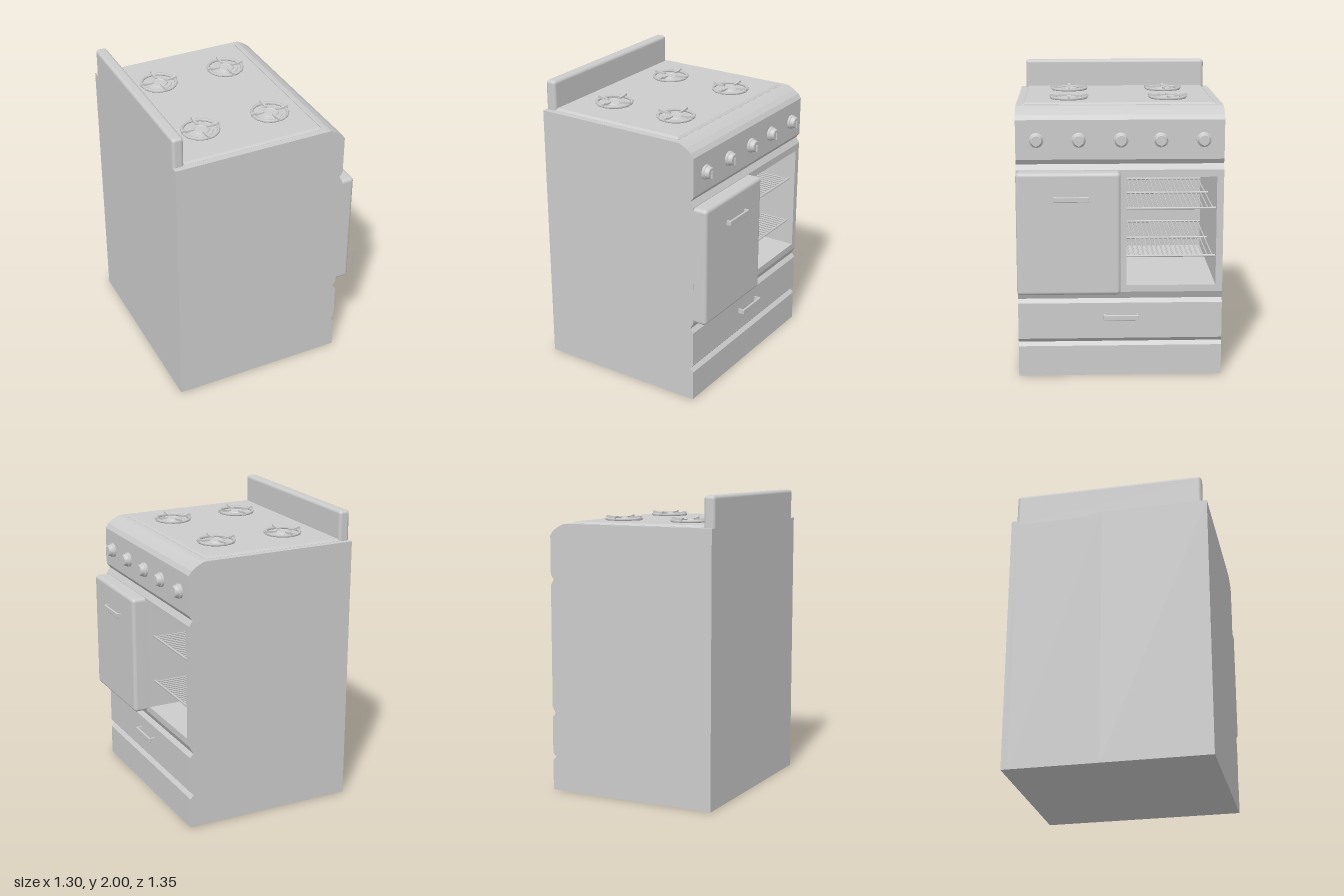
import * as THREE from 'three';
import { RoundedBoxGeometry } from 'three/addons/geometries/RoundedBoxGeometry.js';

const mat = new THREE.MeshStandardMaterial({ color: 0xcccccc });
const flat = new THREE.MeshStandardMaterial({ color: 0xcccccc, flatShading: true });

function add(parent, name, geometry, x = 0, y = 0, z = 0, material = mat) {
  const mesh = new THREE.Mesh(geometry, material);
  mesh.name = name;
  mesh.position.set(x, y, z);
  parent.add(mesh);
  return mesh;
}

const box = (w, h, d) => new THREE.BoxGeometry(w, h, d);

function shapeOf(points) {
  return new THREE.Shape(points.map(([x, y]) => new THREE.Vector2(x, y)));
}

// Side outline of the cabinet; the front (+x) edge carries three V grooves
const FRONT = 0.525;
const lowerFront = [[-0.65, 0], [FRONT, 0], [FRONT, 0.205], [0.502, 0.23], [FRONT, 0.257],
  [FRONT, 0.5], [0.502, 0.527], [FRONT, 0.575]];
const upperFront = [[FRONT, 1.393], [0.502, 1.43], [FRONT, 1.463], [FRONT, 1.72], [0.505, 1.75],
  [0.47, 1.775], [0.425, 1.797], [0.40, 1.8], [-0.65, 1.8]];
const cavity = [[FRONT, 0.62], [-0.55, 0.62], [-0.55, 1.345], [FRONT, 1.345]];

function slab(parent, name, points, z0, z1) {
  const g = new THREE.ExtrudeGeometry(shapeOf(points), { depth: z1 - z0, bevelEnabled: false });
  return add(parent, name, g, 0, 0, z0, flat);
}

// Bar handle: two posts and a grip running along z
function handle(name, x, y, z, reach, width) {
  const g = new THREE.Group();
  g.name = name;
  g.position.set(x, y, z);
  add(g, 'grip', new RoundedBoxGeometry(0.014, 0.035, width, 2, 0.005), reach - 0.007, 0, 0);
  for (const s of [-1, 1]) {
    add(g, 'post', box(reach - 0.005, 0.03, 0.012), (reach - 0.005) / 2, 0, s * (width / 2 - 0.008));
  }
  return g;
}

function burner(x, z) {
  const g = new THREE.Group();
  g.name = 'burner';
  g.position.set(x, 1.812, z);
  // Stepped burner head with a dished cap
  const head = [[0.085, 0], [0.082, 0.006], [0.06, 0.008], [0.056, 0.015], [0.042, 0.017],
    [0.036, 0.013], [0, 0.013]].map(([r, y]) => new THREE.Vector2(r, y));
  add(g, 'burnerHead', new THREE.LatheGeometry(head, 20), 0, 0, 0, flat);
  const ring = add(g, 'grateRing', new THREE.TorusGeometry(0.117, 0.01, 6, 16), 0, 0.011, 0);
  ring.rotation.x = Math.PI / 2;
  // Four arms with a small raised tip near the middle
  for (let i = 0; i < 4; i++) {
    const arm = new THREE.Group();
    arm.name = 'grateArm';
    arm.rotation.y = i * Math.PI / 2;
    const outline = shapeOf([[0.045, 0.016], [0.13, 0.009], [0.13, 0.031], [0.115, 0.033],
      [0.1, 0.027], [0.06, 0.024], [0.045, 0.026]]);
    add(arm, 'bar', new THREE.ExtrudeGeometry(outline, { depth: 0.014, bevelEnabled: false }), 0, 0, -0.007);
    g.add(arm);
  }
  return g;
}

function knob(z) {
  const g = new THREE.Group();
  g.name = 'knob';
  g.position.set(FRONT, 1.59, z);
  const profile = [[0.048, 0], [0.048, 0.014], [0.042, 0.018], [0.037, 0.04], [0.032, 0.045], [0, 0.045]]
    .map(([r, h]) => new THREE.Vector2(r, h));
  const dial = add(g, 'dial', new THREE.LatheGeometry(profile, 24), 0, 0, 0, flat);
  dial.rotation.z = -Math.PI / 2;
  add(g, 'pointer', box(0.016, 0.045, 0.01), 0.046, -0.012, 0);
  return g;
}

function rack(y) {
  const g = new THREE.Group();
  g.name = 'rack';
  g.position.set(-0.03, y, -0.335);
  const rod = (name, length, radius, x, z, alongX) => {
    const m = add(g, name, new THREE.CylinderGeometry(radius, radius, length, 6), x, 0, z);
    if (alongX) m.rotation.z = Math.PI / 2;
    else m.rotation.x = Math.PI / 2;
  };
  for (const x of [-0.51, 0, 0.51]) rod('crossBar', 0.59, 0.008, x, 0, false);
  const count = 18;
  for (let i = 0; i < count; i++) {
    rod('wire', 1.02, 0.005, 0, -0.275 + 0.55 * i / (count - 1), true);
  }
  return g;
}

export function createModel() {
  const model = new THREE.Group();
  model.name = 'stove';

  // Cabinet: two solid ends and a middle section opened for the oven
  const body = new THREE.Group();
  body.name = 'cabinet';
  model.add(body);
  const solid = [...lowerFront, ...upperFront];
  slab(body, 'rightWall', solid, -0.675, -0.63);
  slab(body, 'ovenSection', [...lowerFront, ...cavity, ...upperFront], -0.63, -0.04);
  slab(body, 'closedSection', solid, -0.04, 0.675);

  // Raised hob plate with sloped border
  const plate = new THREE.ExtrudeGeometry(
    shapeOf([[-0.6, -0.617], [0.37, -0.617], [0.37, 0.617], [-0.6, 0.617]]),
    { depth: 0.001, bevelThickness: 0.012, bevelSize: 0.015, bevelSegments: 1 });
  plate.rotateX(-Math.PI / 2);
  add(model, 'hobPlate', plate, 0, 1.8, 0, flat);

  for (const x of [-0.327, 0.163]) for (const z of [-0.33, 0.33]) model.add(burner(x, z));

  // Upright back panel, square below and rounded above
  add(model, 'backPanel', new RoundedBoxGeometry(0.075, 0.25, 1.28, 4, 0.022), -0.6125, 1.875, 0);

  for (const z of [0.54, 0.267, -0.005, -0.263, -0.54]) model.add(knob(z));

  // Door with rounded front edges
  const door = new THREE.Group();
  door.name = 'door';
  model.add(door);
  add(door, 'doorPanel', new RoundedBoxGeometry(0.115, 0.81, 0.675, 4, 0.024), 0.5605, 0.985, 0.3375);
  door.add(handle('doorHandle', 0.616, 1.222, 0.318, 0.034, 0.23));
  model.add(handle('drawerHandle', FRONT, 0.408, -0.005, 0.044, 0.23));

  for (const y of [1.128, 0.807]) model.add(rack(y));
  return model;
}
